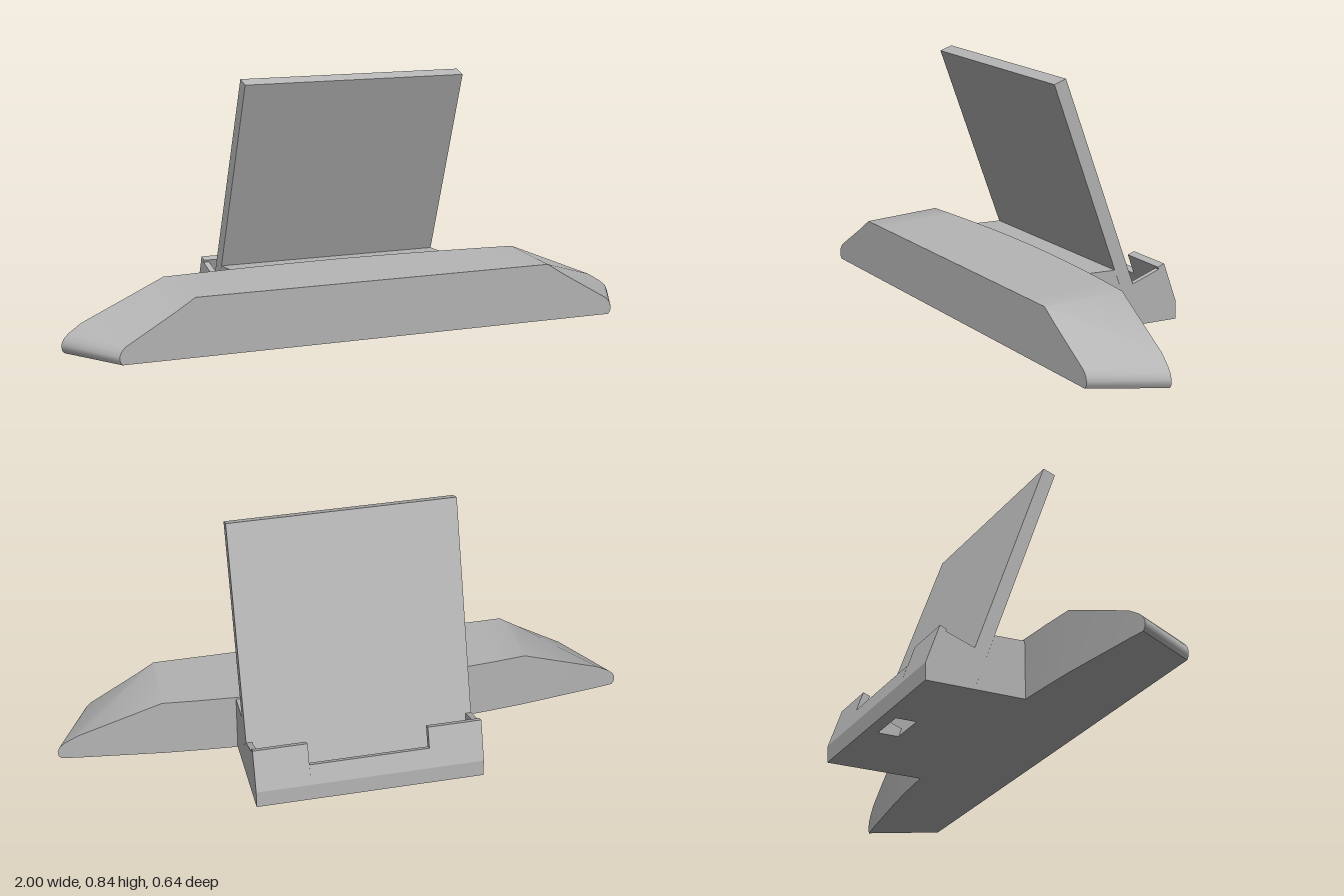
import * as THREE from 'three';
import { mergeGeometries, toCreasedNormals } from 'three/addons/utils/BufferGeometryUtils.js';

// Extrude a side profile of [z, y] points from x0 to x1
function slab(points, x0, x1) {
  const shape = new THREE.Shape(points.map(([z, y]) => new THREE.Vector2(-z, y)));
  const geo = new THREE.ExtrudeGeometry(shape, { depth: x1 - x0, bevelEnabled: false });
  return geo.rotateY(Math.PI / 2).translate(x0, 0, 0);
}

// Wide winged base: front and rear outlines joined column by column
function baseGeometry() {
  const front = [[0.63, 0.193], [0.69, 0.155], [0.86, 0.057], [0.874, 0.042], [0.88, 0.025], [0.878, 0.01], [0.87, 0]];
  const rear = [[0.64, 0.207], [0.93, 0.09], [0.975, 0.062], [0.993, 0.045], [1, 0.028], [0.998, 0.01], [0.99, 0]];
  const rearZ = (x) => 0.012 + 0.086 * x * x;
  const inner = [0, 0.13, 0.26, 0.39, 0.52];
  const half = [
    ...inner.map((x) => ({ f: [x, 0.193], r: [x, 0.208 - 0.002 * x] })),
    ...front.map((f, i) => ({ f, r: rear[i] })),
  ];
  const flip = ({ f, r }) => ({ f: [-f[0], f[1]], r: [-r[0], r[1]] });
  const columns = [...half.slice(1).reverse().map(flip), ...half].map(({ f, r }) => {
    const fx = THREE.MathUtils.clamp(f[0], -0.87, 0.87);
    const rx = THREE.MathUtils.clamp(r[0], -0.99, 0.99);
    return {
      ft: [f[0], f[1], 0.32], rt: [r[0], r[1], rearZ(r[0])],
      fb: [fx, 0, 0.32], rb: [rx, 0, rearZ(rx)],
    };
  });
  const pos = [];
  const quad = (a, b, c, d) => pos.push(...a, ...b, ...c, ...a, ...c, ...d);
  for (let i = 0; i < columns.length - 1; i++) {
    const a = columns[i], b = columns[i + 1];
    quad(a.ft, b.ft, b.rt, a.rt); // top and rounded ends
    quad(a.fb, b.fb, b.ft, a.ft); // front wall
    quad(b.rb, a.rb, a.rt, b.rt); // curved rear wall
    quad(a.rb, b.rb, b.fb, a.fb); // underside
  }
  const geo = new THREE.BufferGeometry();
  geo.setAttribute('position', new THREE.Float32BufferAttribute(pos, 3));
  return toCreasedNormals(geo, 0.6);
}

// Tray behind the panel: end walls, tall lips, low middle lip and cable opening
function trayGeometry() {
  const outer = [[-0.202, 0], [-0.32, 0], [-0.32, 0.06]];
  const lip = [[-0.272, 0.195], [-0.248, 0.186]];
  const lowLip = [[-0.297, 0.126], [-0.274, 0.117]];
  const floor = [[-0.29, 0.067], [-0.191, 0.03]];
  const endWall = [...outer, ...lip, [-0.251, 0.178], [-0.151, 0.142]];
  const tall = [...outer, ...lip, ...floor];
  const low = [...outer, ...lowLip, ...floor];
  const opening = [[-0.275, 0], [-0.32, 0], [-0.32, 0.06], ...lowLip, [-0.29, 0.067], [-0.275, 0.061]];
  const parts = [slab(opening, -0.07, 0.07)];
  for (const [profile, x0, x1] of [[endWall, 0.37, 0.39], [tall, 0.205, 0.37], [low, 0.07, 0.205]]) {
    parts.push(slab(profile, x0, x1), slab(profile, -x1, -x0));
  }
  return mergeGeometries(parts);
}

export function createModel() {
  const group = new THREE.Group();
  const grey = new THREE.MeshStandardMaterial({ color: 0xb4b4b4 });
  grey.name = 'light grey';
  const add = (name, geo) => {
    const mesh = new THREE.Mesh(geo, grey);
    mesh.name = name;
    group.add(mesh);
  };

  add('wingedBase', baseGeometry());
  // Block joining the base to the panel
  add('connectingBlock', slab([[0.025, 0], [0.025, 0.2], [-0.081, 0.198], [-0.153, 0]], -0.39, 0.39));
  // Leaning back panel
  add('backPanel', slab([[0.147, 0.828], [0.105, 0.843], [-0.151, 0.142], [-0.202, 0], [-0.153, 0]], -0.39, 0.39));
  add('rearTray', trayGeometry());
  return group;
}
